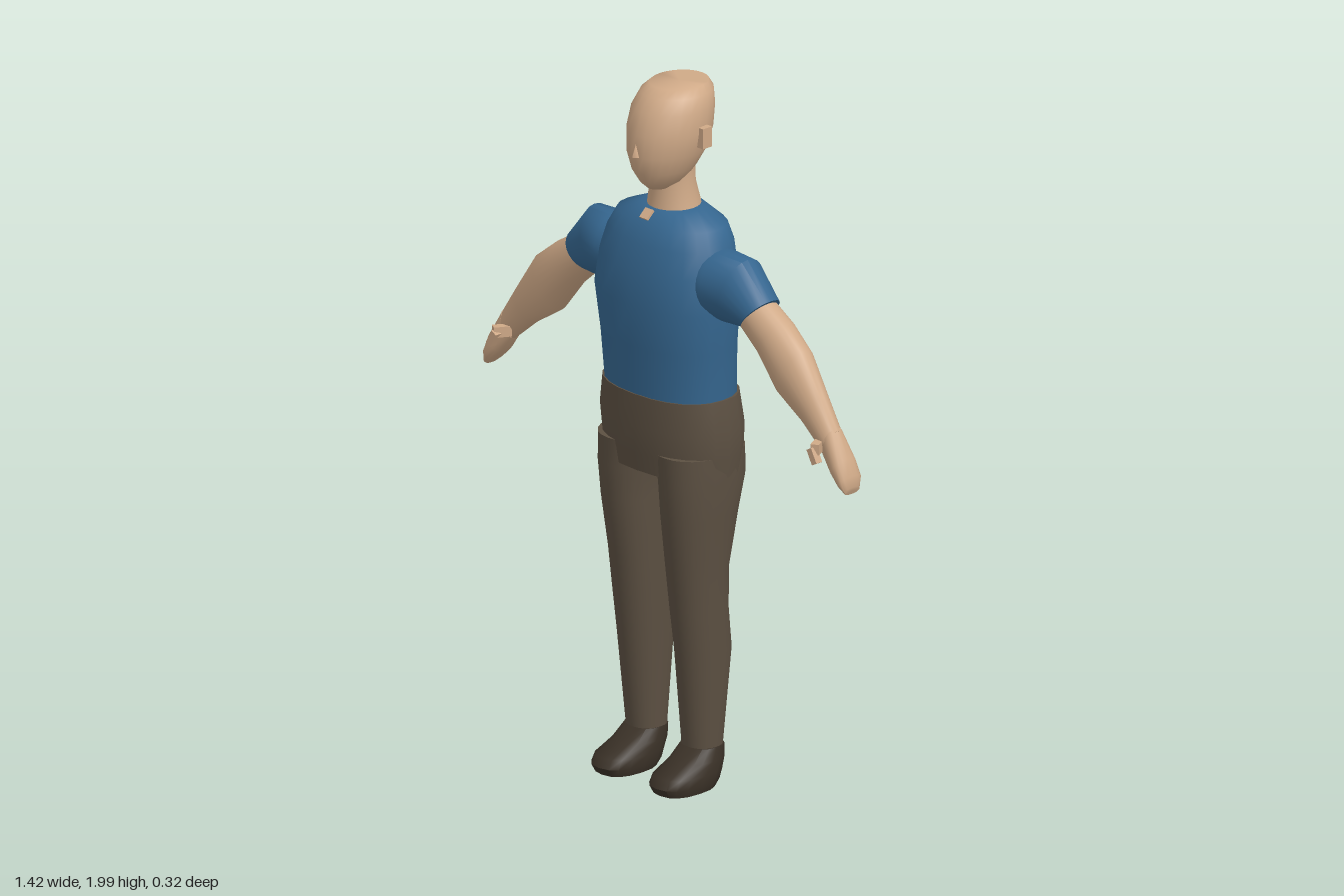
import * as THREE from 'three';
import { toCreasedNormals } from 'three/addons/utils/BufferGeometryUtils.js';

const material = (name, color) => {
  const m = new THREE.MeshStandardMaterial({ color });
  m.name = name;
  return m;
};

// Skins rings of [x1, y1, x2, y2, zBack, zFront]; power above 2 squares the rings off.
function loft(rings, power = 2, sides = 24) {
  const pos = [], index = [];
  const shape = (v) => Math.sign(v) * Math.abs(v) ** (2 / power);
  const centre = ([x1, y1, x2, y2, zb, zf]) => [(x1 + x2) / 2, (y1 + y2) / 2, (zb + zf) / 2];
  for (const r of rings) {
    const [cx, cy, cz] = centre(r);
    for (let i = 0; i < sides; i++) {
      const t = (i / sides) * Math.PI * 2, c = shape(Math.cos(t)), s = shape(Math.sin(t));
      pos.push(cx + (r[2] - r[0]) / 2 * c, cy + (r[3] - r[1]) / 2 * c, cz + (r[5] - r[4]) / 2 * s);
    }
  }
  const last = (rings.length - 1) * sides, capA = rings.length * sides, capB = capA + 1;
  pos.push(...centre(rings[0]), ...centre(rings[rings.length - 1]));
  for (let i = 0; i < sides; i++) {
    const j = (i + 1) % sides;
    for (let k = 0; k < last; k += sides) {
      index.push(k + i, k + sides + i, k + j, k + j, k + sides + i, k + sides + j);
    }
    index.push(capA, i, j, capB, last + j, last + i);
  }
  const g = new THREE.BufferGeometry();
  g.setAttribute('position', new THREE.Float32BufferAttribute(pos, 3));
  g.setIndex(index);
  return toCreasedNormals(g, 0.85);
}

// Level ring centred on x = 0, and the mirror image of a list of rings.
const level = ([y, rx, zb, zf]) => [-rx, y, rx, y, zb, zf];
const mirror = (rings) => rings.map(([x1, y1, x2, y2, zb, zf]) => [-x2, y2, -x1, y1, zb, zf]);

export function createModel() {
  const model = new THREE.Group();
  model.name = 'standingMan';
  const skin = material('skin', 0xcfa987);
  const blue = material('shirtBlue', 0x35668f);
  const brown = material('trouserBrown', 0x5c5042);
  const dark = material('shoeBrown', 0x3a3127);
  const add = (name, geometry, mat) => {
    const mesh = new THREE.Mesh(geometry, mat);
    mesh.name = name;
    model.add(mesh);
    return mesh;
  };

  // Head, neck and nose
  add('head', loft([
    [1.715, 0.03, 0, 0.075], [1.735, 0.055, -0.05, 0.097], [1.77, 0.076, -0.078, 0.118],
    [1.82, 0.1, -0.108, 0.128], [1.88, 0.11, -0.126, 0.124], [1.94, 0.107, -0.133, 0.106],
    [1.98, 0.094, -0.133, 0.078], [2, 0.075, -0.122, 0.05],
  ].map(level)), skin);
  add('neck', loft([
    [1.6, 0.085, -0.095, 0.062], [1.66, 0.073, -0.09, 0.056],
    [1.72, 0.06, -0.076, 0.052], [1.78, 0.062, -0.075, 0.06],
  ].map(level)), skin);
  const nose = add('nose', new THREE.ConeGeometry(0.013, 0.035, 4), skin);
  nose.position.set(0, 1.838, 0.126);

  // Torso of the shirt, with a small open notch at the collar
  add('shirt', loft([
    [1.135, 0.205, -0.14, 0.133], [1.28, 0.212, -0.139, 0.145], [1.4, 0.228, -0.136, 0.155],
    [1.5, 0.218, -0.136, 0.142], [1.57, 0.2, -0.133, 0.122], [1.62, 0.175, -0.12, 0.098],
    [1.655, 0.09, -0.09, 0.06],
  ].map(level), 2.3), blue);
  const notch = add('collarNotch', new THREE.BoxGeometry(0.03, 0.032, 0.008), skin);
  notch.position.set(-0.006, 1.641, 0.079);
  notch.rotation.x = -0.83;

  // Hips of the trousers
  add('hips', loft([
    [0.915, 0.214, -0.15, 0.122], [0.97, 0.22, -0.155, 0.13],
    [1.05, 0.225, -0.158, 0.138], [1.14, 0.211, -0.148, 0.137],
  ].map(level), 2.3), brown);

  // Limb rings for the model's left side
  const leg = [
    [0.055, 0.11, 0.163, 0.11, -0.07, 0.035], [0.045, 0.4, 0.18, 0.4, -0.1, 0.066],
    [0.04, 0.52, 0.184, 0.52, -0.086, 0.08], [0.034, 0.64, 0.19, 0.64, -0.085, 0.093],
    [0.028, 0.8, 0.205, 0.8, -0.115, 0.115], [0.022, 0.9, 0.214, 0.9, -0.138, 0.123],
    [0.005, 0.98, 0.215, 0.98, -0.14, 0.126],
  ];
  const shoe = [
    [0.05, 0.012, 0.178, 0.012, -0.035, 0.145], [0.042, 0.035, 0.185, 0.035, -0.052, 0.158],
    [0.044, 0.06, 0.183, 0.06, -0.063, 0.145], [0.048, 0.09, 0.175, 0.09, -0.071, 0.08],
    [0.053, 0.125, 0.167, 0.125, -0.072, 0.038],
  ];
  const sleeve = [
    [0.16, 1.57, 0.17, 1.39, -0.1, 0.08], [0.21, 1.572, 0.2, 1.385, -0.097, 0.088],
    [0.3, 1.57, 0.235, 1.375, -0.085, 0.074], [0.385, 1.472, 0.3, 1.378, -0.073, 0.05],
  ];
  const arm = [
    [0.36, 1.475, 0.285, 1.385, -0.068, 0.044], [0.445, 1.424, 0.36, 1.32, -0.07, 0.045],
    [0.52, 1.366, 0.435, 1.225, -0.067, 0.046], [0.595, 1.255, 0.53, 1.165, -0.05, 0.034],
    [0.65, 1.17, 0.615, 1.095, -0.04, 0.027],
  ];
  const hand = [
    [0.645, 1.177, 0.61, 1.1, -0.04, 0.027], [0.69, 1.1, 0.65, 1.05, -0.05, 0.033],
    [0.708, 1.055, 0.682, 1.02, -0.049, 0.031], [0.712, 1.025, 0.703, 1.003, -0.035, 0.02],
  ];

  for (const [side, sign] of [['left', 1], ['right', -1]]) {
    const place = (rings) => (sign > 0 ? rings : mirror(rings));
    add(side + 'Leg', loft(place(leg), 2.2), brown);
    add(side + 'Shoe', loft(place(shoe), 2.5, 16), dark);
    add(side + 'Sleeve', loft(place(sleeve)), blue);
    add(side + 'Arm', loft(place(arm)), skin);
    add(side + 'Hand', loft(place(hand), 2.4, 16), skin);

    const ear = add(side + 'Ear', new THREE.BoxGeometry(0.026, 0.058, 0.034), skin);
    ear.position.set(sign * 0.112, 1.87, -0.022);

    // Thumb: a base segment and a bent tip
    const base = add(side + 'ThumbBase', new THREE.BoxGeometry(0.024, 0.03, 0.05), skin);
    base.position.set(sign * 0.618, 1.128, 0.037);
    base.rotation.y = sign * 0.5;
    const tip = add(side + 'ThumbTip', new THREE.BoxGeometry(0.02, 0.045, 0.022), skin);
    tip.position.set(sign * 0.628, 1.11, 0.058);
    tip.rotation.z = sign * 0.5;
  }
  return model;
}
